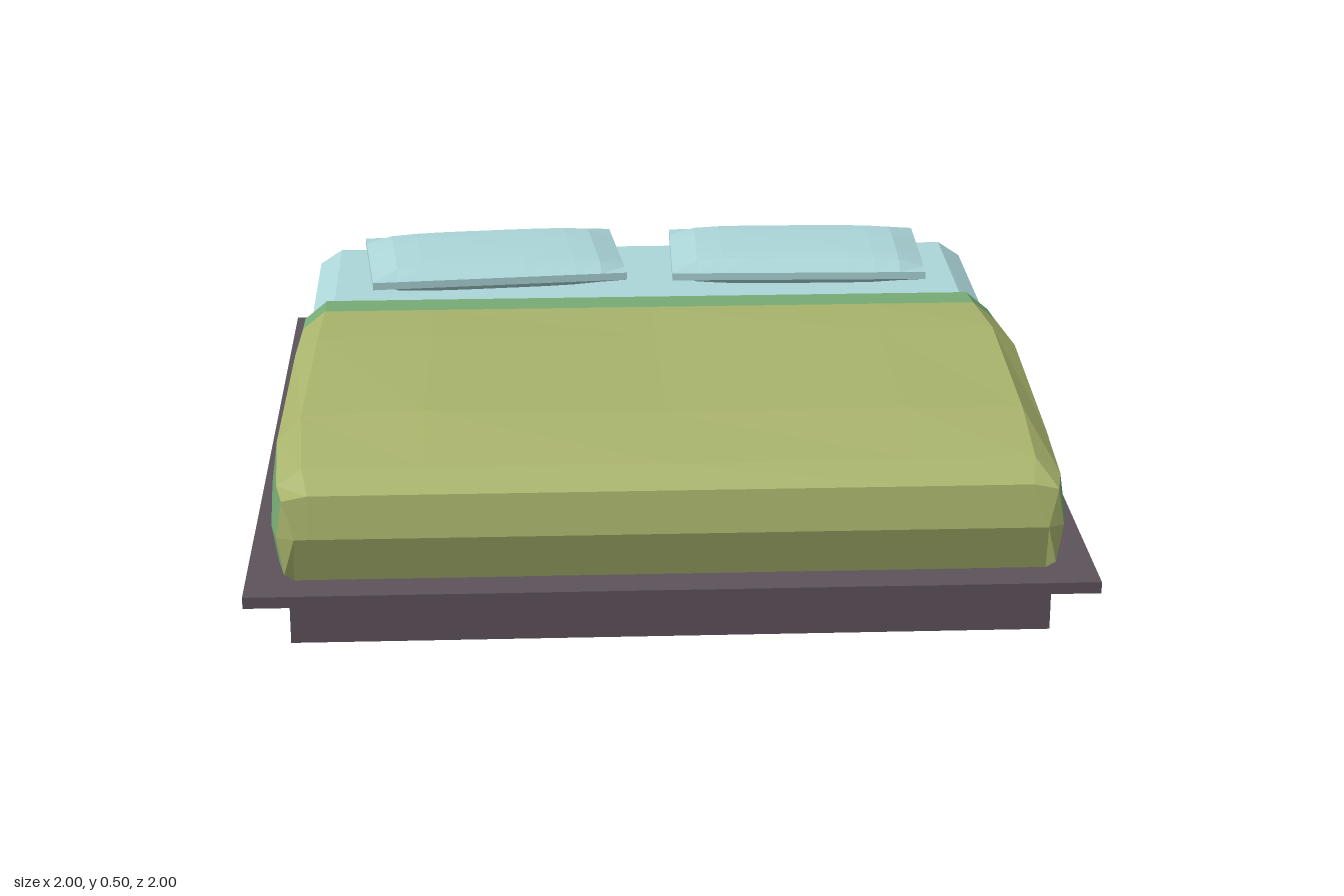
import * as THREE from 'three';

const mat = (name, color) => {
  const m = new THREE.MeshStandardMaterial({ color });
  m.name = name;
  return m;
};

// One cross-section: left side up, across the top, right side down.
function section([z, wL, wR, shoulder, tops], isEnd) {
  const low = 0.163, tuck = isEnd ? 0.02 : 0;
  const side = (w, s) => [
    [s * (w - 0.035), low, z - tuck],
    [s * (w - 0.015), 0.185, z],
    [s * w, 0.28, z],
    [s * (w - 0.015), shoulder, z],
  ];
  const xs = [-(wL - 0.075), -0.58, 0, 0.58, wR - 0.075];
  return [...side(wL, -1), ...xs.map((x, i) => [x, tops[i], z]), ...side(wR, 1).reverse()];
}

// Skins the sections and closes the far end on a horizontal ridge.
// pick(row, segment) gives the material index of each panel.
function loft(rows, ridgeZ, pick, materials) {
  const rings = rows.map((r, i) => section(r, i === rows.length - 1));
  const last = rings[rings.length - 1];
  rings.push(last.map(([x]) => [THREE.MathUtils.clamp(x, -0.88, 0.88), 0.28, ridgeZ]));
  const buckets = materials.map(() => []);
  for (let i = 0; i < rings.length - 1; i++) {
    const n = rings[i].length;
    for (let j = 0; j < n; j++) {
      const k = (j + 1) % n;
      const a = rings[i][j], b = rings[i][k], c = rings[i + 1][k], d = rings[i + 1][j];
      buckets[pick(i, j)].push(...a, ...d, ...c, ...a, ...c, ...b);
    }
  }
  const geo = new THREE.BufferGeometry();
  geo.setAttribute('position', new THREE.Float32BufferAttribute(buckets.flat(), 3));
  let start = 0;
  buckets.forEach((b, i) => {
    geo.addGroup(start, b.length / 3, i);
    start += b.length / 3;
  });
  geo.computeVertexNormals();
  return new THREE.Mesh(geo, materials);
}

// Cushion: a gridded box puffed up towards its middle.
function pillowGeometry(w, d) {
  const geo = new THREE.BoxGeometry(w, 2, d, 10, 2, 8).toNonIndexed();
  const p = geo.attributes.position;
  for (let i = 0; i < p.count; i++) {
    const u = Math.abs(p.getX(i) / (w / 2)), v = Math.abs(p.getZ(i) / (d / 2));
    const puff = Math.sqrt(Math.max(0, (1 - u ** 4) * (1 - v ** 4)));
    p.setY(i, p.getY(i) * (0.01 + 0.031 * puff));
  }
  geo.computeVertexNormals();
  return geo;
}

export function createModel() {
  const model = new THREE.Group();
  model.name = 'bed';
  const wood = mat('darkWood', 0x5d535b);
  const linen = mat('paleBlueLinen', 0xabd5d8);
  const olive = mat('oliveBlanket', 0xa9b46c);
  const green = mat('greenBlanketSide', 0x77ab74);
  const teal = mat('tealFoldSide', 0x4f9f7f);
  const add = (mesh, name) => {
    mesh.name = name;
    model.add(mesh);
    return mesh;
  };

  // Platform: recessed plinth and overhanging slab
  const plinth = add(new THREE.Mesh(new THREE.BoxGeometry(1.8, 0.14, 1.8), wood), 'plinth');
  plinth.position.y = 0.07;
  const slab = add(new THREE.Mesh(new THREE.BoxGeometry(2, 0.028, 2), wood), 'platform');
  slab.position.y = 0.149;

  // Mattress, turned so its closed end is the head
  const flat = (y) => [y, y, y, y, y];
  const mattress = loft([
    [-0.8, 0.92, 0.92, 0.375, flat(0.413)],
    [0.85, 0.925, 0.93, 0.375, flat(0.415)],
    [0.918, 0.905, 0.91, 0.37, flat(0.38)],
  ], 0.93, () => 0, [linen]);
  mattress.geometry.rotateY(Math.PI);
  add(mattress, 'mattress');

  // Blanket with rumpled top; the first rows are the hem and the folded band
  const isSide = (j) => j < 3 || j > 8;
  add(loft([
    [-0.36, 0.925, 0.92, 0.37, flat(0.41)],
    [-0.359, 0.945, 0.937, 0.377, flat(0.427)],
    [-0.26, 0.945, 0.942, 0.382, flat(0.431)],
    [0, 0.948, 0.955, 0.4, [0.445, 0.446, 0.437, 0.446, 0.45]],
    [0.58, 0.955, 0.942, 0.387, [0.45, 0.46, 0.445, 0.45, 0.446]],
    [0.85, 0.938, 0.932, 0.38, flat(0.42)],
    [0.925, 0.922, 0.918, 0.37, flat(0.382)],
  ], 0.942, (i, j) => {
    if (i < 2) return isSide(j) ? 2 : 1;
    return i < 6 && isSide(j) ? 1 : 0;
  }, [olive, green, teal]), 'blanket');

  // Pillows
  const pillow = pillowGeometry(0.69, 0.405);
  [['rightPillow', -0.42, -0.6, 0.09], ['leftPillow', 0.415, -0.61, -0.025]].forEach(([name, x, z, turn]) => {
    const mesh = add(new THREE.Mesh(pillow, linen), name);
    mesh.position.set(x, 0.463, z);
    mesh.rotation.y = turn;
  });
  return model;
}
